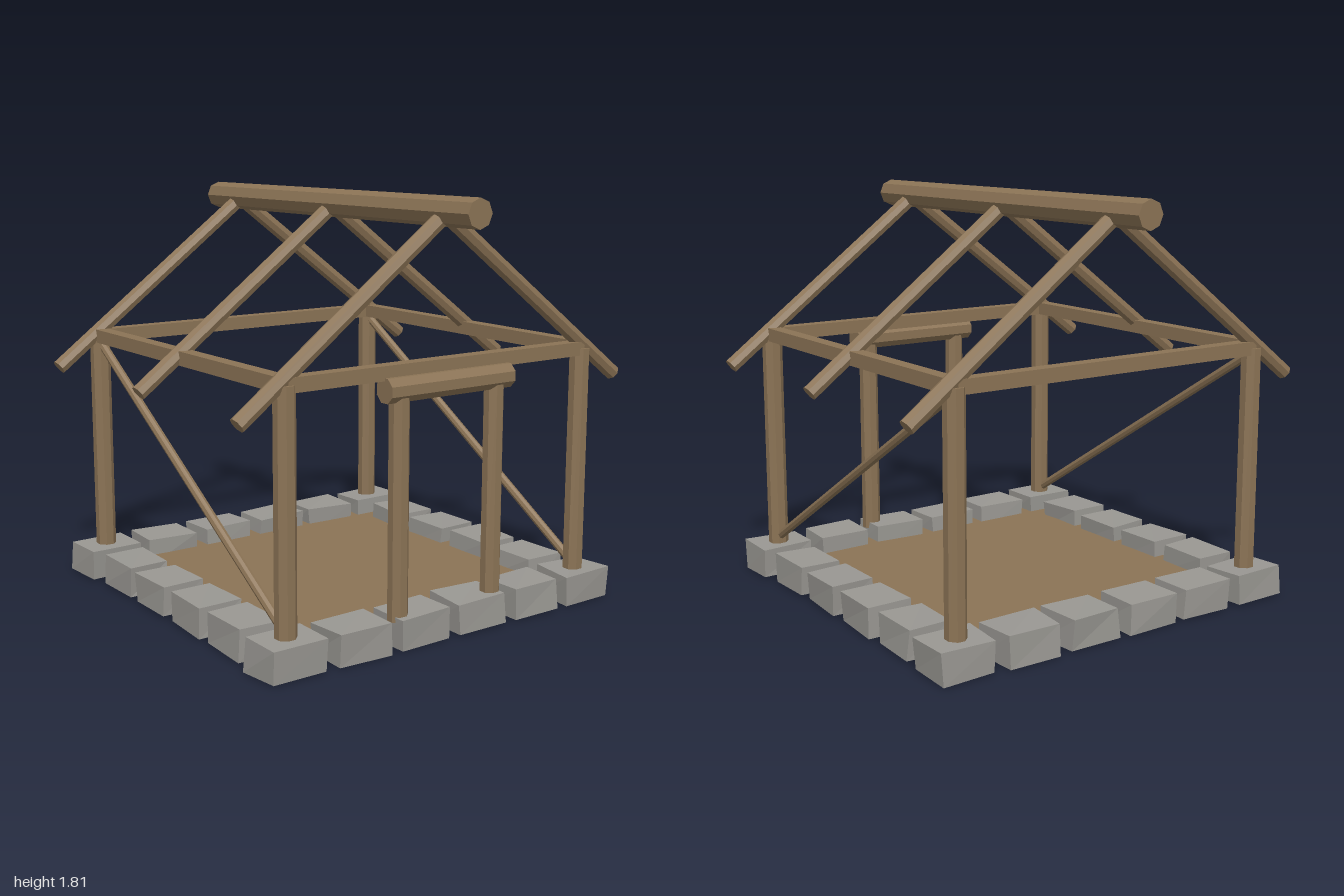
import * as THREE from 'three';

const wood = new THREE.MeshStandardMaterial({ color: 0x8b7355 });
wood.name = 'wood';
const earth = new THREE.MeshStandardMaterial({ color: 0x8b7355 });
earth.name = 'earth';
const stone = new THREE.MeshStandardMaterial({ color: 0x999792 });
stone.name = 'stone';

let seed = 7;
function rand() {
  seed = (seed * 16807) % 2147483647;
  return seed / 2147483647 * 2 - 1;
}

// Unshared vertices give crisp facets
function faceted(geometry) {
  const g = geometry.toNonIndexed();
  g.computeVertexNormals();
  return g;
}

// Eight-sided log between two points
function log(name, from, to, radius, roll = 0) {
  const a = new THREE.Vector3(...from), b = new THREE.Vector3(...to);
  const dir = b.clone().sub(a);
  const g = new THREE.CylinderGeometry(radius, radius, dir.length(), 8);
  g.rotateY(roll);
  const mesh = new THREE.Mesh(faceted(g), wood);
  mesh.name = name;
  mesh.position.copy(a).add(b).multiplyScalar(0.5);
  mesh.quaternion.setFromUnitVectors(new THREE.Vector3(0, 1, 0), dir.normalize());
  return mesh;
}

function box(name, size, position, material) {
  const mesh = new THREE.Mesh(new THREE.BoxGeometry(...size), material);
  mesh.name = name;
  mesh.position.set(...position);
  return mesh;
}

// Rough block with each corner nudged a little
function block(x, z, w, d) {
  const h = 0.134;
  const g = new THREE.BoxGeometry(w, h, d);
  const p = g.attributes.position;
  const nudge = Array.from({ length: 8 }, () => [rand() * 0.009, rand() * 0.005, rand() * 0.009]);
  for (let i = 0; i < p.count; i++) {
    const id = (p.getX(i) > 0 ? 1 : 0) + (p.getY(i) > 0 ? 2 : 0) + (p.getZ(i) > 0 ? 4 : 0);
    const n = nudge[id];
    p.setXYZ(i, p.getX(i) + n[0], p.getY(i) + n[1], p.getZ(i) + n[2]);
  }
  const mesh = new THREE.Mesh(faceted(g), stone);
  mesh.name = 'foundationStone';
  mesh.position.set(x, h / 2 + 0.004, z);
  mesh.rotation.y = rand() * 0.03;
  return mesh;
}

export function createModel() {
  const model = new THREE.Group();
  model.name = 'timberFrameHut';
  const E = 0.77; // half width of the frame
  const flat = Math.PI / 8; // roll that puts a flat facet outward

  // Floor
  model.add(box('floor', [2 * E, 0.06, 2 * E], [0, 0.034, 0], earth));

  // Ring of foundation stones
  const stones = new THREE.Group();
  stones.name = 'foundation';
  for (const s of [-1, 1]) {
    for (const x of [-E, -0.46, -0.155, 0.155, 0.46, E]) stones.add(block(x, s * E, 0.25, 0.195));
    for (const z of [-0.465, -0.155, 0.155, 0.465]) stones.add(block(s * E, z, 0.195, 0.25));
  }
  model.add(stones);

  // Corner posts, wall plates and side braces
  for (const s of [-1, 1]) {
    for (const z of [-E, E]) model.add(log('cornerPost', [s * E, 0.06, z], [s * E, 1.13, z], 0.0455, flat));
    model.add(box('sidePlate', [0.062, 0.06, 2 * E], [s * E, 1.132, 0], wood));
    model.add(box('tieBeam', [2 * E, 0.06, 0.062], [0, 1.13, s * E], wood));
    model.add(log('sideBrace', [s * E, 0.155, E], [s * E, 1.105, -E], 0.02));
  }

  // Door frame
  for (const s of [-1, 1]) model.add(log('doorPost', [s * 0.248, 0.11, 0.8], [s * 0.248, 1.035, 0.8], 0.0435, flat));
  model.add(log('doorLintel', [-0.322, 1.062, 0.8], [0.322, 1.062, 0.8], 0.054, flat));

  // Roof frame
  model.add(log('ridgeBeam', [0, 1.745, -0.977], [0, 1.745, 0.977], 0.062));
  for (const z of [-E, 0, E]) {
    for (const s of [-1, 1]) model.add(log('rafter', [0, 1.735, z], [s * 0.977, 1.0, z], 0.035));
  }
  return model;
}
